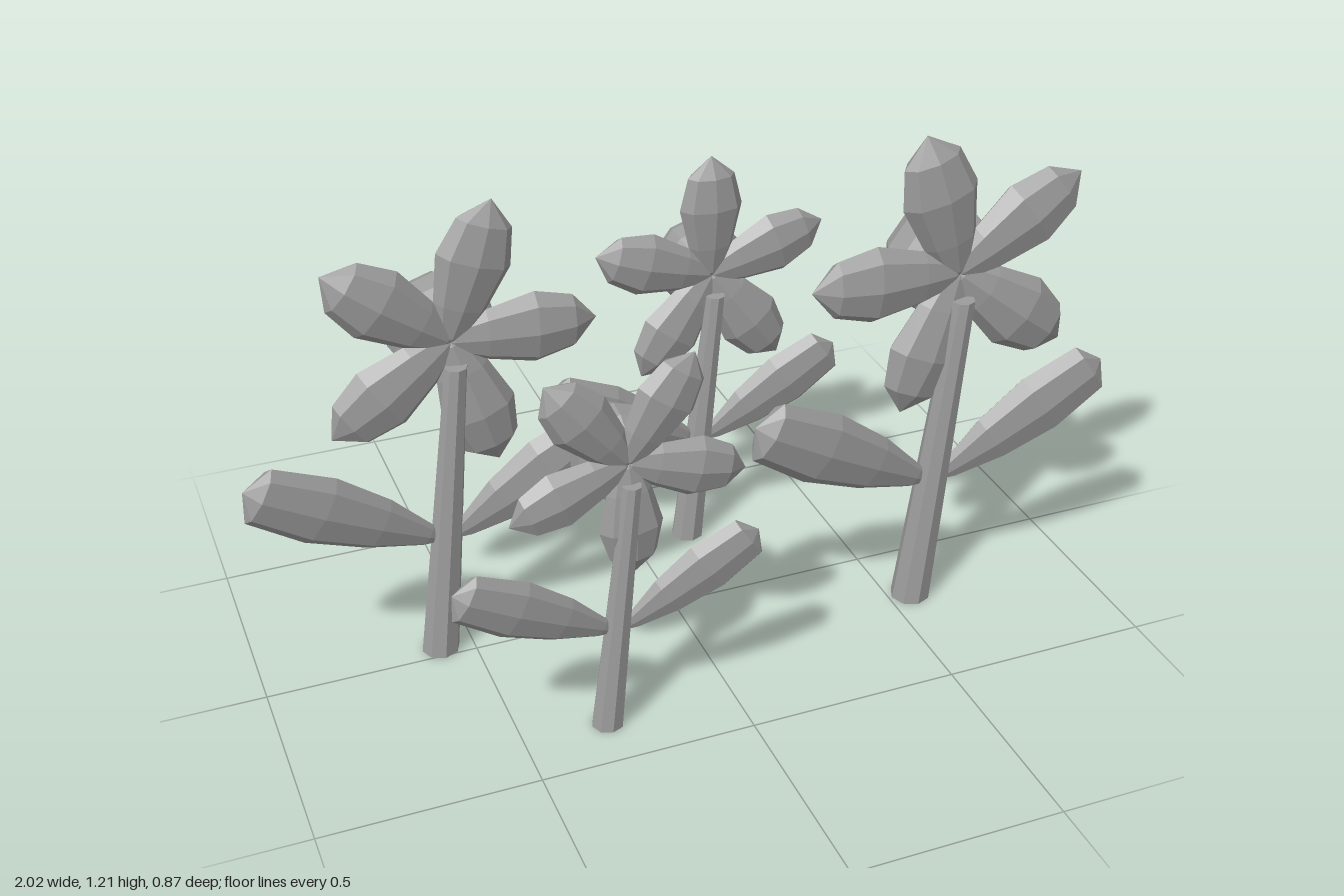
import * as THREE from 'three';

const gray = new THREE.MeshStandardMaterial({ color: 0x9c9c9c, flatShading: true });
gray.name = 'plain gray';

// faceted solid of revolution along +y, optionally flattened in z
function turned(name, profile, sides, flat = 1) {
  const pts = profile.map(([r, y]) => new THREE.Vector2(r, y));
  const geo = new THREE.LatheGeometry(pts, sides);
  geo.scale(1, 1, flat);
  const mesh = new THREE.Mesh(geo, gray);
  mesh.name = name;
  return mesh;
}

const PETAL = [[0, -0.02], [0.035, 0.01], [0.066, 0.09], [0.094, 0.21], [0.07, 0.305], [0, 0.365]];
const LEAF = [[0, 0], [0.03, 0.06], [0.07, 0.2], [0.092, 0.36], [0.076, 0.525], [0, 0.566]];
const DOME = [[0, -0.01], [0.1, 0], [0.127, 0.045], [0.134, 0.1], [0.115, 0.142], [0.07, 0.162], [0, 0.165]];
const LEAN = 0.085, HEAD_Y = 0.856, STEM_H = 0.8;

function makeFlower(turn) {
  const flower = new THREE.Group();

  // leaning, tapered stem with a level foot
  const stemGeo = new THREE.CylinderGeometry(0.028, 0.048, STEM_H, 8);
  stemGeo.translate(0, STEM_H / 2, 0);
  const p = stemGeo.attributes.position;
  for (let i = 0; i < p.count; i++) p.setX(i, p.getX(i) + p.getY(i) * LEAN / STEM_H);
  const stem = new THREE.Mesh(stemGeo, gray);
  stem.name = 'stem';
  flower.add(stem);

  // five petals around the head, with a dome behind
  const head = new THREE.Group();
  head.name = 'flowerHead';
  head.position.set(LEAN - 0.004, HEAD_Y, -0.03);
  for (let i = 0; i < 5; i++) {
    const petal = turned('petal', PETAL, 8, 0.53);
    petal.rotation.z = THREE.MathUtils.degToRad(turn + i * 72 - 90);
    head.add(petal);
  }
  const dome = turned('flowerCenter', DOME, 10);
  dome.rotation.x = -Math.PI / 2;
  head.add(dome);
  flower.add(head);

  // a long leaf on one side, a shorter steeper one on the other
  for (const [name, angle, length] of [['rightLeaf', 150, 1], ['leftLeaf', 34, 0.87]]) {
    const leaf = turned(name, LEAF.map(([r, y]) => [r, y * length]), 8, 0.46);
    leaf.geometry.rotateX(0.085);
    leaf.rotation.z = THREE.MathUtils.degToRad(angle - 90);
    leaf.position.set(0.04, 0.32, 0);
    flower.add(leaf);
  }
  return flower;
}

export function createModel() {
  const model = new THREE.Group();
  model.name = 'flowerPatch';
  // x, z, scale, petal turn in degrees
  const spots = [
    [0.556, 0.178, 1, 34],
    [-0.578, -0.035, 0.935, 71],
    [0.144, -0.27, 0.845, 90],
    [-0.303, 0.37, 0.775, 57],
  ];
  spots.forEach(([x, z, s, turn], i) => {
    const flower = makeFlower(turn);
    flower.name = 'flower' + (i + 1);
    flower.position.set(x, 0, z);
    flower.scale.setScalar(s);
    model.add(flower);
  });
  return model;
}
